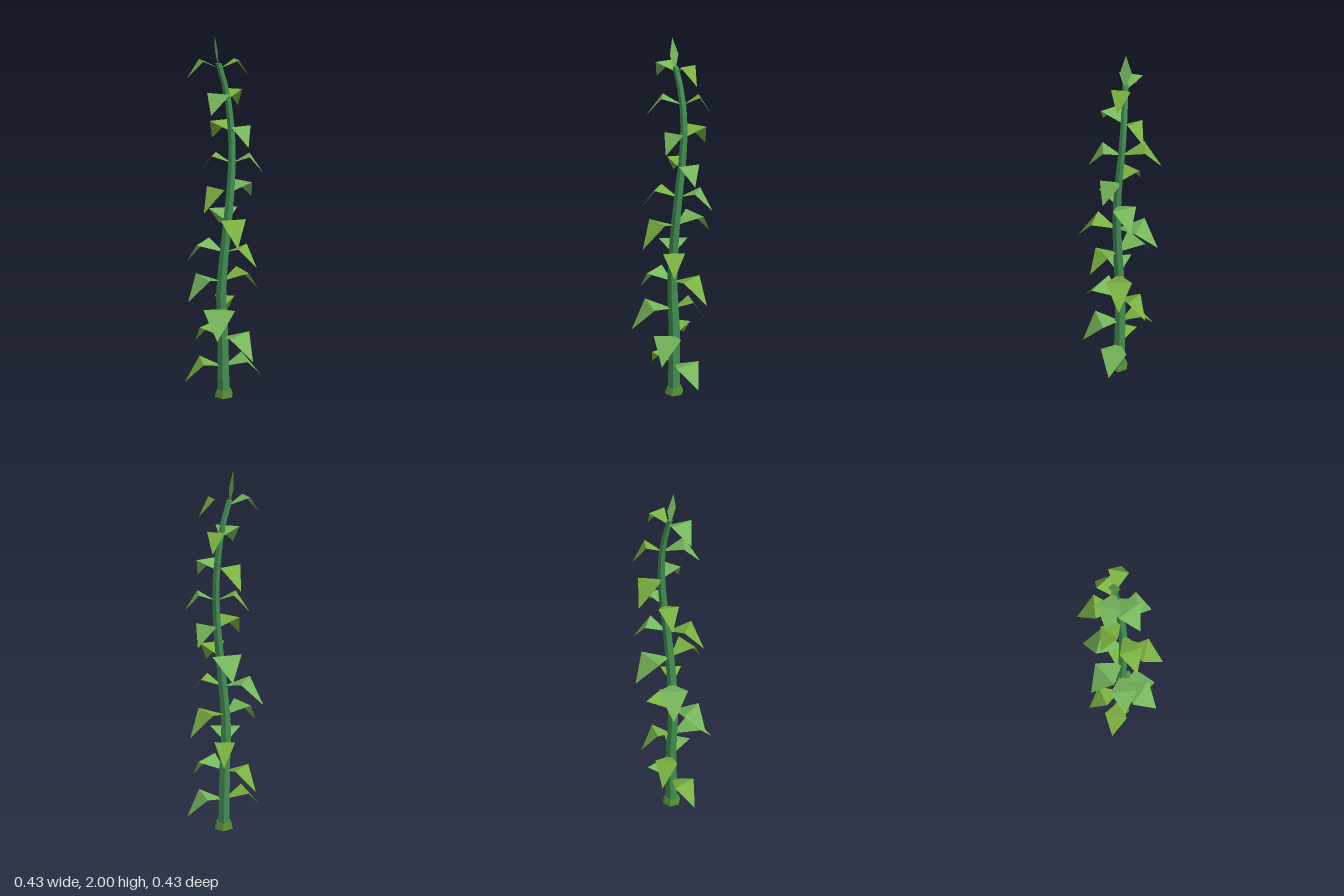
import * as THREE from 'three';

const mat = (name, color, side = THREE.FrontSide) => {
  const m = new THREE.MeshStandardMaterial({ color, flatShading: true, side });
  m.name = name;
  return m;
};

const V = (x, y, z) => new THREE.Vector3(x, y, z);

// Gently swaying centre line of the stalk
const spine = new THREE.CatmullRomCurve3([
  V(0, 0, 0), V(0, 0.4, -0.008), V(-0.01, 0.6, -0.01), V(-0.005, 0.8, 0.003), V(0.01, 1.0, 0.016),
  V(0.03, 1.2, 0.024), V(0.05, 1.4, 0.018), V(0.053, 1.55, 0.005), V(0.04, 1.7, -0.01), V(0, 1.86, -0.035),
]);

// Spine point at a given height
function spineAt(y) {
  let lo = 0, hi = 1;
  for (let i = 0; i < 25; i++) {
    const mid = (lo + hi) / 2;
    if (spine.getPoint(mid).y < y) lo = mid; else hi = mid;
  }
  return spine.getPoint(lo);
}

// Flat or folded four-cornered leaf: base, two wide corners, tip
function kite(base, a, b, tip) {
  const g = new THREE.BufferGeometry();
  g.setFromPoints([base, a, b, a, tip, b]);
  g.computeVertexNormals();
  return g;
}

// Drooping leaf, folded across its widest line
function leafGeometry(foldY, tipX, tipY, tipZ, widthRatio) {
  const base = spineAt(foldY - 0.045);
  const tip = V(tipX, tipY, tipZ);
  const out = V(tipX - base.x, 0, tipZ - base.z);
  const side = V(-out.z, 0, out.x).multiplyScalar(widthRatio);
  const fold = base.clone().addScaledVector(out, 0.56).setY(foldY);
  return kite(base, fold.clone().add(side), fold.clone().sub(side), tip);
}

export function createModel() {
  const group = new THREE.Group();
  const stemMat = mat('stem green', 0x428f52);
  const collarMat = mat('base olive green', 0x558b2f);
  const greenMat = mat('leaf green', 0x77b85c, THREE.DoubleSide);
  const limeMat = mat('leaf lime', 0x7cb342, THREE.DoubleSide);

  const add = (name, geometry, material) => {
    const mesh = new THREE.Mesh(geometry, material);
    mesh.name = name;
    group.add(mesh);
    return mesh;
  };

  // Tapered six-sided stalk bent along the spine
  const stalk = new THREE.CylinderGeometry(0.016, 0.037, 1.855, 6, 18);
  stalk.translate(0, 1.855 / 2, 0);
  const p = stalk.attributes.position;
  for (let i = 0; i < p.count; i++) {
    const c = spineAt(p.getY(i));
    p.setX(i, p.getX(i) + c.x);
    p.setZ(i, p.getZ(i) + c.z);
  }
  stalk.computeVertexNormals();
  add('stalk', stalk, stemMat);

  // Flared foot
  const foot = new THREE.CylinderGeometry(0.042, 0.056, 0.036, 6);
  foot.translate(0, 0.018, 0);
  add('foot', foot, collarMat);

  // Leaf pairs: fold height, green tip (x, y, z), lime tip (x, y, z)
  const pairs = [
    [0.22, [0.165, 0.10, 0.14], [-0.16, 0.10, -0.15]],
    [0.395, [-0.025, 0.265, 0.215], [0.015, 0.275, -0.21]],
    [0.56, [-0.215, 0.425, 0.115], [0.155, 0.44, -0.09]],
    [0.725, [-0.207, 0.60, -0.085], [0.198, 0.595, 0.093]],
    [0.89, [-0.05, 0.76, -0.217], [0.04, 0.78, 0.19]],
    [1.06, [0.167, 0.94, -0.15], [-0.13, 0.93, 0.185]],
    [1.22, [0.212, 1.115, 0.032], [-0.175, 1.10, 0]],
    [1.375, [0.14, 1.28, 0.155], [-0.03, 1.275, -0.138]],
    [1.54, [-0.01, 1.44, 0.165], [0.135, 1.425, -0.178]],
    [1.71, [-0.142, 1.61, 0.025], [0.19, 1.61, -0.045]],
    [1.872, [-0.122, 1.78, -0.146], [0.13, 1.78, 0.07]],
  ];
  pairs.forEach(([foldY, green, lime], i) => {
    add(`greenLeaf${i + 1}`, leafGeometry(foldY, ...green, 0.35), greenMat);
    add(`limeLeaf${i + 1}`, leafGeometry(foldY, ...lime, 0.31), limeMat);
  });

  // Upright bud leaf at the top
  add('topLeaf', kite(
    V(0, 1.83, -0.033), V(0.01, 1.915, -0.064), V(-0.025, 1.915, -0.018), V(-0.018, 2, -0.045),
  ), greenMat);

  return group;
}
